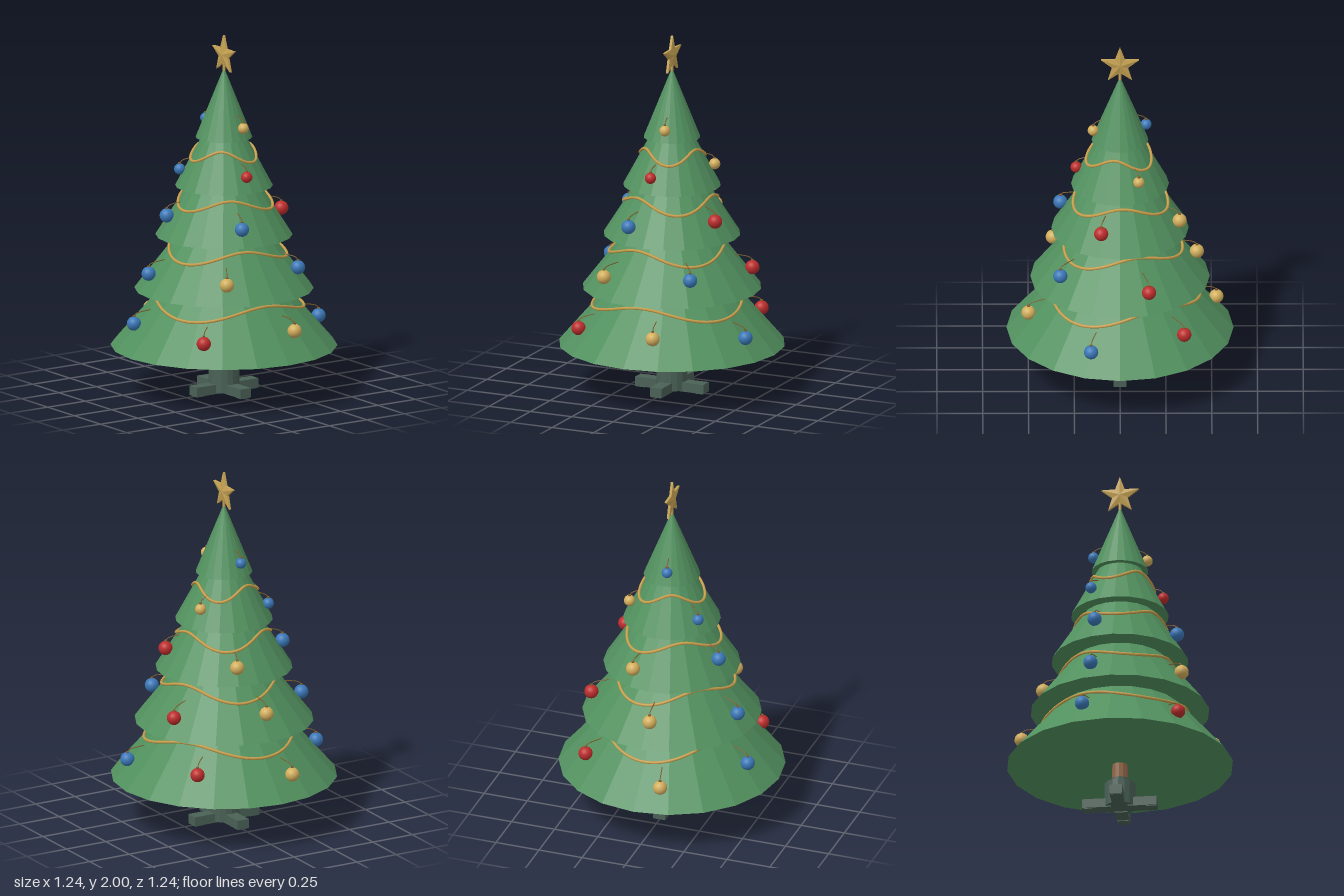
import * as THREE from 'three';

const paint = (name, color, flatShading = false) => {
  const m = new THREE.MeshStandardMaterial({ color, flatShading });
  m.name = name;
  return m;
};

// Each tier: base height, base radius, cone height, ornament size,
// and ornaments as [angle in degrees, distance from axis, height, colour]
const TIERS = [
  { y: 0.265, r: 0.62, h: 0.72, size: 0.039, balls: [
    [-13.5, 0.514, 0.42, 'gold'], [47, 0.535, 0.39, 'red'], [107, 0.517, 0.42, 'blue'],
    [167, 0.54, 0.39, 'gold'], [227, 0.513, 0.42, 'red'], [287, 0.543, 0.39, 'blue']] },
  { y: 0.585, r: 0.49, h: 0.63, size: 0.039, balls: [
    [33, 0.437, 0.697, 'gold'], [105, 0.438, 0.697, 'blue'], [177, 0.42, 0.725, 'gold'],
    [249, 0.44, 0.7, 'red'], [321, 0.42, 0.725, 'blue']] },
  { y: 0.885, r: 0.375, h: 0.59, size: 0.039, balls: [
    [18.5, 0.343, 0.985, 'blue'], [108.5, 0.326, 1.01, 'blue'],
    [198.5, 0.343, 0.985, 'gold'], [288.5, 0.326, 1.01, 'red']] },
  { y: 1.16, r: 0.267, h: 0.5, size: 0.031, balls: [
    [4, 0.24, 1.25, 'red'], [124, 0.242, 1.25, 'blue'], [244, 0.233, 1.275, 'gold']] },
  { y: 1.43, r: 0.155, h: 0.39, size: 0.03, balls: [
    [-10, 0.149, 1.5, 'gold'], [171, 0.144, 1.512, 'blue']] },
];

const coneRadius = (t, y) => t.r * (1 - (y - t.y) / t.h);
const polar = (a, r, y) => new THREE.Vector3(Math.cos(a) * r, y, Math.sin(a) * r);

// Five-pointed star with raised centres, front and back, and a straight rim
function starGeometry(R, inner, rim, peak) {
  const ring = [];
  for (let i = 0; i < 10; i++) {
    const a = Math.PI / 2 + (i * Math.PI) / 5, r = i % 2 ? inner : R;
    ring.push([Math.cos(a) * r, Math.sin(a) * r]);
  }
  const pos = [];
  for (let i = 0; i < 10; i++) {
    const p = ring[i], q = ring[(i + 1) % 10];
    pos.push(0, 0, peak, ...p, rim, ...q, rim);
    pos.push(0, 0, -peak, ...q, -rim, ...p, -rim);
    pos.push(...p, rim, ...p, -rim, ...q, -rim);
    pos.push(...p, rim, ...q, -rim, ...q, rim);
  }
  const g = new THREE.BufferGeometry();
  g.setAttribute('position', new THREE.Float32BufferAttribute(pos, 3));
  g.computeVertexNormals();
  return g;
}

export function createModel() {
  const tree = new THREE.Group();
  tree.name = 'decoratedTree';
  const mats = {
    needles: paint('needle green', 0x52915f, true),
    bark: paint('bark brown', 0x926847, true),
    stand: paint('stand grey green', 0x4a6156, true),
    star: paint('star gold', 0xc6a353, true),
    garland: paint('garland gold', 0xc9a04c),
    wire: paint('wire bronze', 0x80602c),
    red: paint('ornament red', 0xbe2c2c),
    blue: paint('ornament blue', 0x3a78b8),
    gold: paint('ornament gold', 0xd2ae5c),
  };
  const add = (parent, name, geo, mat, x = 0, y = 0, z = 0) => {
    const m = new THREE.Mesh(geo, mat);
    m.name = name;
    m.position.set(x, y, z);
    parent.add(m);
    return m;
  };

  // Stand: hub, clamp collar and four feet
  const stand = new THREE.Group();
  stand.name = 'stand';
  tree.add(stand);
  add(stand, 'standHub', new THREE.CylinderGeometry(0.085, 0.085, 0.14, 16), mats.stand, 0, 0.08);
  add(stand, 'standCollar', new THREE.CylinderGeometry(0.05, 0.05, 0.03, 12), mats.stand, 0, 0.163);
  for (let i = 0; i < 4; i++) {
    const a = (i * Math.PI) / 2;
    const foot = add(stand, 'standFoot', new THREE.BoxGeometry(0.16, 0.052, 0.07), mats.stand,
      Math.cos(a) * 0.126, 0.03, -Math.sin(a) * 0.126);
    foot.rotation.y = a;
    const pad = add(stand, 'footPad', new THREE.BoxGeometry(0.05, 0.008, 0.06), mats.stand,
      Math.cos(a) * 0.175, 0.004, -Math.sin(a) * 0.175);
    pad.rotation.y = a;
  }

  // Trunk
  add(tree, 'trunk', new THREE.CylinderGeometry(0.04, 0.044, 0.3, 12), mats.bark, 0, 0.3);

  TIERS.forEach((t, i) => {
    // Branch tier
    add(tree, 'branchTier', new THREE.ConeGeometry(t.r, t.h, 20), mats.needles, 0, t.y + t.h / 2);

    // Wavy garland hugging the cone, three dips around
    if (i < 4) {
      const mid = [0.515, 0.81, 1.085, 1.345][i], dip = THREE.MathUtils.degToRad(60 + 13.4 * i);
      const pts = [];
      for (let k = 0; k < 48; k++) {
        const a = (k / 48) * Math.PI * 2;
        const y = mid - 0.033 * Math.cos(3 * (a - dip));
        pts.push(polar(a, coneRadius(t, y) + 0.005, y));
      }
      const path = new THREE.CatmullRomCurve3(pts, true);
      add(tree, 'garland', new THREE.TubeGeometry(path, 120, 0.008, 6, true), mats.garland);
    }

    // Ornaments: ball, cap and wire hook reaching back to the branches
    for (const [deg, r, y, colour] of t.balls) {
      const a = THREE.MathUtils.degToRad(deg), s = t.size;
      const ornament = new THREE.Group();
      ornament.name = 'ornament';
      tree.add(ornament);
      const c = polar(a, r, y);
      add(ornament, 'ball', new THREE.SphereGeometry(s, 20, 14), mats[colour], c.x, c.y, c.z);
      add(ornament, 'cap', new THREE.CylinderGeometry(0.008, 0.008, 0.01, 8), mats.wire, c.x, y + s + 0.001, c.z);
      const top = y + s + 0.035;
      const hook = new THREE.CatmullRomCurve3([
        polar(a, r, y + s), polar(a, r - 0.012, y + s + 0.016),
        polar(a, coneRadius(t, top) - 0.01, top),
      ]);
      add(ornament, 'hook', new THREE.TubeGeometry(hook, 8, 0.0028, 5), mats.wire);
    }
  });

  // Star and its stem
  add(tree, 'starStem', new THREE.CylinderGeometry(0.008, 0.008, 0.08, 8), mats.star, 0, 1.83);
  add(tree, 'star', starGeometry(0.11, 0.045, 0.007, 0.017), mats.star, 0, 1.89);

  return tree;
}
